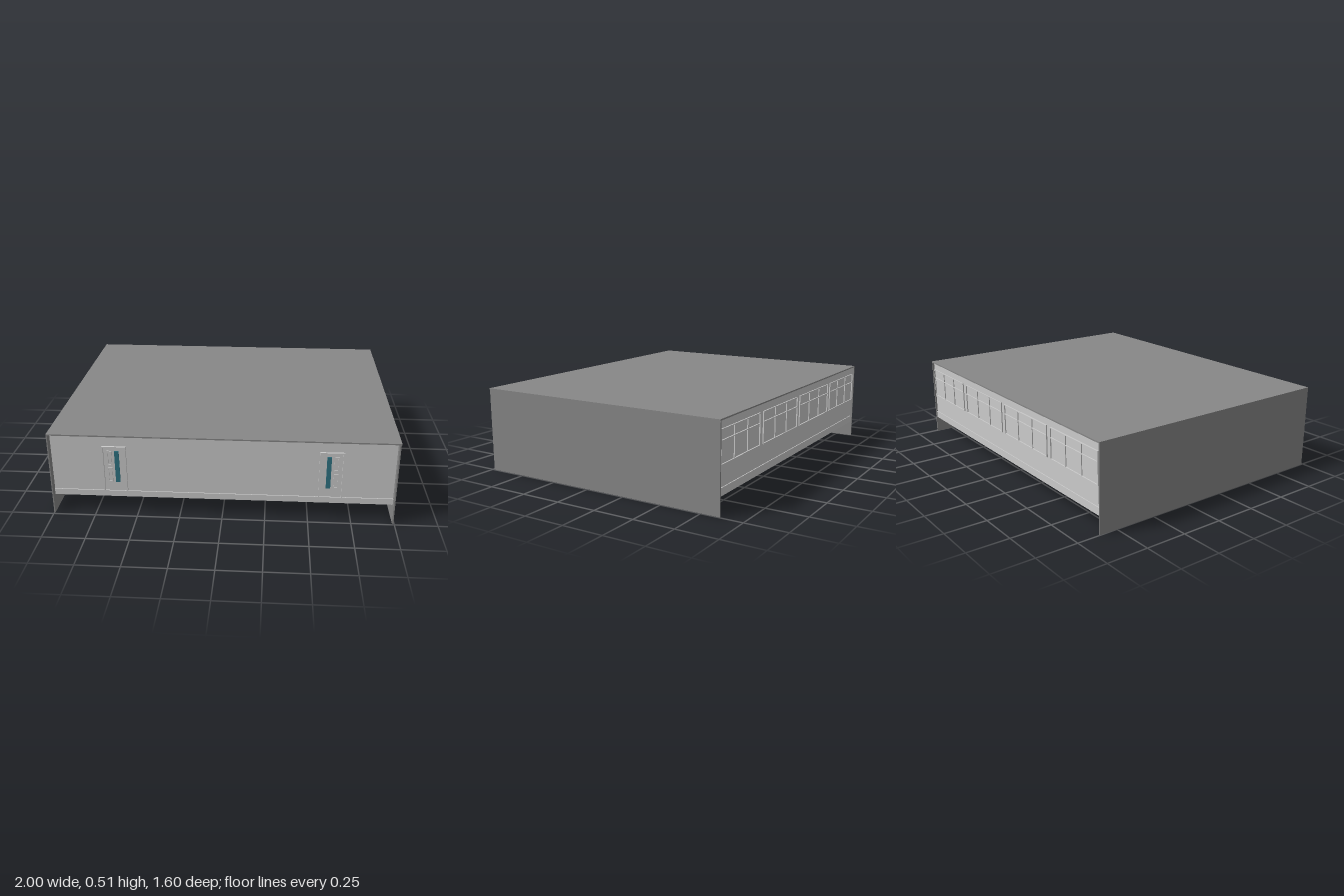
import * as THREE from 'three';

const grey = new THREE.MeshStandardMaterial({ color: 0xcccccc });
const dark = new THREE.MeshStandardMaterial({ color: 0x878787 });
const teal = new THREE.MeshStandardMaterial({ color: 0x2f7484 });

// Box given by its minimum and maximum corners
function box(parent, name, [x0, y0, z0], [x1, y1, z1], material = grey) {
  const mesh = new THREE.Mesh(new THREE.BoxGeometry(x1 - x0, y1 - y0, z1 - z0), material);
  mesh.position.set((x0 + x1) / 2, (y0 + y1) / 2, (z0 + z1) / 2);
  mesh.name = name;
  parent.add(mesh);
}

// Rectangular frame with an open middle
function frame(parent, name, x0, y0, x1, y1, t, z, depth) {
  const shape = new THREE.Shape();
  shape.moveTo(x0, y0).lineTo(x1, y0).lineTo(x1, y1).lineTo(x0, y1).closePath();
  const hole = new THREE.Path();
  hole.moveTo(x0 + t, y0 + t).lineTo(x0 + t, y1 - t).lineTo(x1 - t, y1 - t).lineTo(x1 - t, y0 + t).closePath();
  shape.holes.push(hole);
  const mesh = new THREE.Mesh(new THREE.ExtrudeGeometry(shape, { depth, bevelEnabled: false }), grey);
  mesh.position.z = z;
  mesh.name = name;
  parent.add(mesh);
}

export function createModel() {
  const model = new THREE.Group();
  model.name = 'building';
  const back = -0.863, front = 0.738;
  const wallFront = 0.695, wallBack = -0.852;

  // Shell: dark roof slab and side walls reaching the ground, raised floor
  box(model, 'roof', [-1, 0.507, back], [1, 0.515, front], dark);
  box(model, 'rightWall', [-1, 0, back], [-0.993, 0.507, front], dark);
  box(model, 'leftWall', [0.988, 0, back], [0.996, 0.507, front], dark);
  box(model, 'floor', [-0.993, 0.115, wallBack + 0.01], [0.988, 0.14, wallFront - 0.01]);
  box(model, 'frontWall', [-0.993, 0.14, wallFront - 0.01], [0.988, 0.507, wallFront]);
  box(model, 'backWall', [-0.993, 0.105, wallBack], [0.988, 0.507, wallBack + 0.01]);

  // Ledges along the foot of both long walls
  box(model, 'frontLedge', [-0.993, 0.105, wallFront - 0.01], [0.988, 0.142, wallFront + 0.006]);
  box(model, 'backLedge', [-0.993, 0.105, wallBack - 0.005], [0.988, 0.15, wallBack]);

  // Doors, mirrored about the middle
  for (const s of [-1, 1]) {
    const door = new THREE.Group();
    door.name = s > 0 ? 'leftDoor' : 'rightDoor';
    const span = (a, b) => (s > 0 ? [a, b] : [-b, -a]);
    for (const [a, b] of [[0.555, 0.562], [0.687, 0.694]]) {
      const [j0, j1] = span(a, b);
      box(door, 'doorJamb', [j0, 0.142, wallFront], [j1, 0.43, wallFront + 0.012]);
    }
    const [h0, h1] = span(0.562, 0.687);
    box(door, 'doorHead', [h0, 0.423, wallFront], [h1, 0.43, wallFront + 0.012]);
    const [g0, g1] = span(0.597, 0.623);
    box(door, 'doorGlass', [g0, 0.2, wallFront], [g1, 0.4, wallFront + 0.006], teal);
    const [p0, p1] = span(0.64, 0.666);
    for (const [y0, y1] of [[0.2, 0.29], [0.31, 0.4]])
      frame(door, 'doorPanel', p0, y0, p1, y1, 0.005, wallFront, 0.006);
    model.add(door);
  }

  // Four rows of three windows along the back
  const y0 = 0.27, y1 = 0.46, depth = 0.007, t = 0.005;
  for (const [x0, x1] of [[-0.98, -0.53], [-0.495, -0.02], [0.015, 0.49], [0.53, 0.98]]) {
    const windows = new THREE.Group();
    windows.name = 'windowRow';
    const z = wallBack - depth;
    frame(windows, 'windowFrame', x0, y0, x1, y1, t, z, depth);
    box(windows, 'transom', [x0 + t, 0.396, z], [x1 - t, 0.401, wallBack]);
    for (const k of [1, 2]) {
      const x = x0 + (x1 - x0) * k / 3;
      box(windows, 'mullion', [x - t / 2, y0 + t, z + 0.001], [x + t / 2, y1 - t, wallBack]);
    }
    model.add(windows);
  }
  return model;
}
